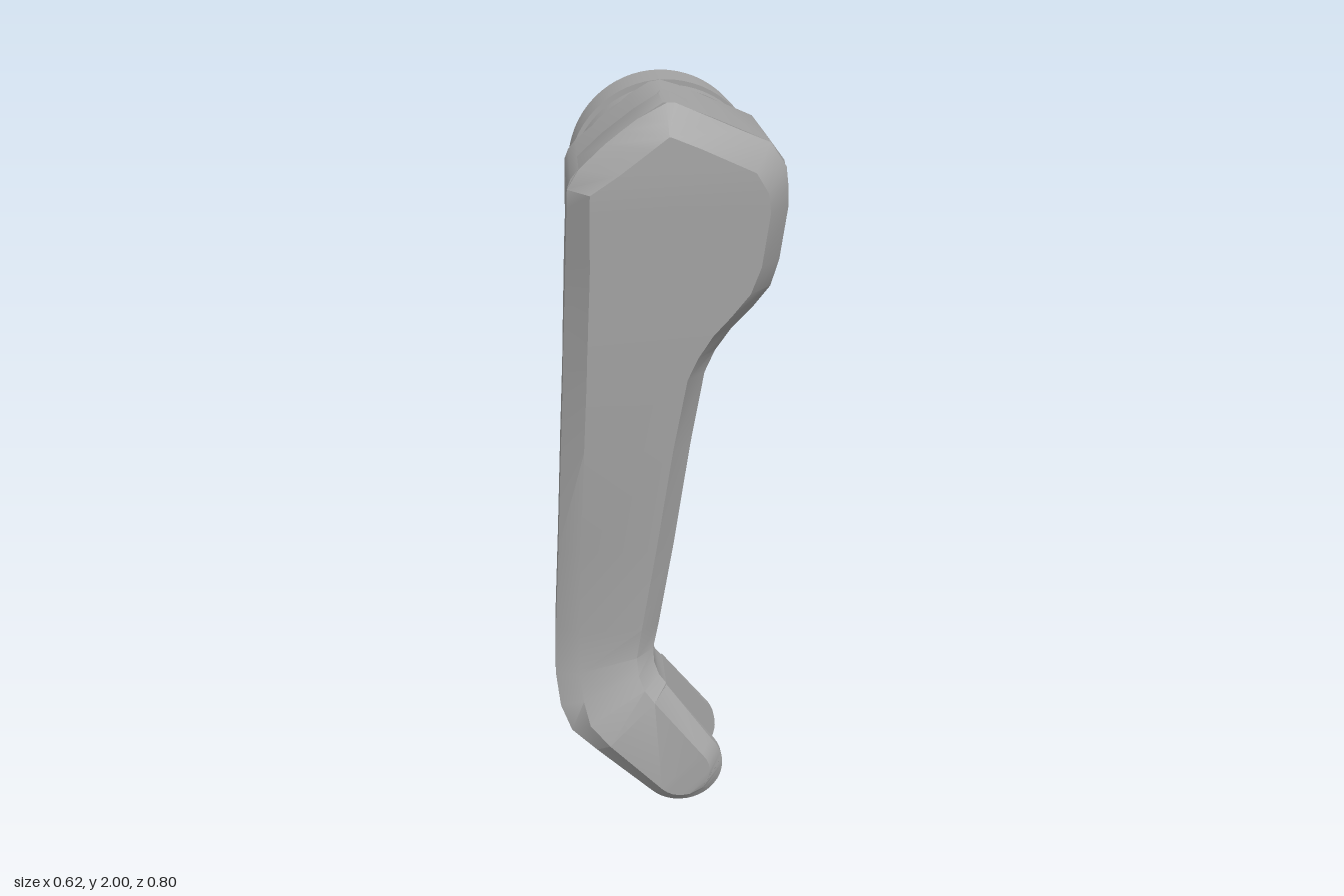
import * as THREE from 'three';
import { toCreasedNormals } from 'three/addons/utils/BufferGeometryUtils.js';

const grey = new THREE.MeshStandardMaterial({ color: 0xa3a3a3 });
grey.name = 'grey';

// Piecewise linear curve through [input, output] pairs
function curve(pairs) {
  return (t) => {
    if (t <= pairs[0][0]) return pairs[0][1];
    for (let i = 1; i < pairs.length; i++) {
      const [a, va] = pairs[i - 1], [b, vb] = pairs[i];
      if (t <= b) return va + (vb - va) * (t - a) / (b - a);
    }
    return pairs[pairs.length - 1][1];
  };
}

// Depth of the front and back surfaces at a given height
const frontZ = curve([[0.26, 0.4], [0.46, 0.335], [1.4, 0.375], [1.8, 0.385], [1.93, 0.38], [2, 0.3]]);
const backZ = curve([[0.26, 0.1], [0.46, 0.145], [1.0, 0.13], [1.2, 0.11], [1.3, 0.09],
  [1.38, 0.035], [1.42, -0.03], [1.55, -0.03], [1.65, 0.1]]);

// Eight-sided chamfered section between a left and a right point
function section({ L, R, front = frontZ, back = backZ, fiL = 0.05, fiR = fiL, bi = 0.05, fc = 0.04, bc = 0.045 }) {
  const len = Math.hypot(R[0] - L[0], R[1] - L[1]) || 1;
  const at = (d) => [L[0] + (R[0] - L[0]) * d / len, L[1] + (R[1] - L[1]) * d / len];
  const place = (d, surface, dz) => {
    const [x, y] = at(d);
    return [x, y, surface(y) + dz];
  };
  const half = len / 2;
  const b = Math.min(bi, half);
  const l = Math.min(fiL, half), r = Math.min(fiR, len - l);
  const pts = [
    place(l, front, 0), place(len - r, front, 0), place(len, front, -fc), place(len, back, bc),
    place(len - b, back, 0), place(b, back, 0), place(0, back, bc), place(0, front, -fc),
  ];
  // keep the side edges from crossing where the part is thin
  for (const [f, k] of [[2, 3], [7, 6]]) {
    if (pts[f][2] < pts[k][2]) pts[f][2] = pts[k][2] = (pts[f][2] + pts[k][2]) / 2;
  }
  return pts;
}

// Skin a list of sections, lowest first, and close both ends
function loft(stations, crease = 0.6) {
  const rings = stations.map(section), n = 8, index = [];
  for (let i = 0; i + 1 < rings.length; i++) {
    for (let j = 0; j < n; j++) {
      const a = i * n + j, b = i * n + (j + 1) % n;
      index.push(a, b, b + n, a, b + n, a + n);
    }
  }
  const top = (rings.length - 1) * n;
  for (let j = 1; j < n - 1; j++) index.push(0, j + 1, j, top, top + j, top + j + 1);
  const g = new THREE.BufferGeometry();
  g.setAttribute('position', new THREE.Float32BufferAttribute(rings.flat(2), 3));
  g.setIndex(index);
  return toCreasedNormals(g, crease);
}

export function createModel() {
  const model = new THREE.Group();
  model.name = 'crankArm';
  const add = (name, geometry) => {
    const mesh = new THREE.Mesh(geometry, grey);
    mesh.name = name;
    model.add(mesh);
    return mesh;
  };

  // Arm from the end of the fork slot up to the peak of the head
  const slotL = [-0.2, 0.18], slotR = [0, 0.37];
  const arm = [
    { L: slotL, R: slotR },
    { L: [-0.27, 0.25], R: [-0.02, 0.395], fiL: 0.06, fiR: 0.05 },
    { L: [-0.3, 0.32], R: [-0.033, 0.43], fiL: 0.07, fiR: 0.05 },
    { L: [-0.312, 0.41], R: [-0.035, 0.47], fiL: 0.07, fiR: 0.05 },
    { L: [-0.308, 0.55], R: [-0.02, 0.55], fiL: 0.065, fiR: 0.05 },
    { L: [-0.295, 0.8], R: [0.02, 0.8], fiL: 0.06, fiR: 0.05 },
    { L: [-0.281, 1.1], R: [0.064, 1.1], fiL: 0.06, fiR: 0.05, bi: 0.06, fc: 0.05, bc: 0.05 },
  ];
  // y, left x, right x, front insets left and right, back inset, back chamfer
  for (const [y, l, r, fiL, fiR, bi, bc] of [
    [1.3, -0.271, 0.1, 0.06, 0.05, 0.09, 0.08],
    [1.36, -0.269, 0.127, 0.06, 0.05, 0.12, 0.12],
    [1.42, -0.266, 0.17, 0.06, 0.055, 0.14, 0.17],
    [1.47, -0.264, 0.22, 0.06, 0.06, 0.12, 0.17],
    [1.53, -0.261, 0.268, 0.06, 0.06, 0.08, 0.13],
    [1.6, -0.258, 0.289, 0.06, 0.055, 0.04, 0.06],
    [1.74, -0.252, 0.308, 0.055, 0.055, 0.04, 0.05],
    [1.79, -0.25, 0.306, 0.055, 0.06, 0.04, 0.05],
    [1.84, -0.22, 0.3, 0.1, 0.085, 0.04, 0.05],
    [1.9, -0.155, 0.26, 0.115, 0.18, 0.04, 0.05],
    [1.93, -0.115, 0.185, 0.115, 0.18, 0.04, 0.05],
    [1.96, -0.075, 0.115, 0.075, 0.11, 0.03, 0.05],
    [2.0, -0.01, 0.02, 0.01, 0.02, 0.01, 0.05],
  ]) {
    const fc = y < 1.93 ? curve([[1.1, 0.05], [1.5, 0.075]])(y) : Math.max(0, frontZ(y) - 0.3);
    arm.push({ L: [l, y], R: [r, y], fiL, fiR, bi, bc, fc });
  }
  add('arm', loft(arm));

  // Two fork prongs with round chamfered tips
  const radius = 0.12, inner = 0.08, centre = [0.04, 0.12];
  for (const isFront of [true, false]) {
    const stations = [];
    const side = (drop, inset) => (isFront
      ? { front: (y) => Math.max(frontZ(y), 0.345) - drop, back: () => 0.34, fiL: inset, bi: 0, fc: 0.04 - drop, bc: 0 }
      : { front: () => 0.16, back: (y) => Math.min(backZ(y), 0.155) + drop, fiL: 0, bi: inset, fc: 0, bc: 0.04 - drop });
    for (let i = 10; i >= 0; i--) {
      const s = radius * Math.sin(i / 10 * Math.PI / 2);
      const hw = Math.max(0.003, Math.sqrt(Math.max(0, radius * radius - s * s)));
      const inset = hw - Math.sqrt(Math.max(0, inner * inner - s * s));
      const x = centre[0] + 0.7 * s, y = centre[1] - 0.714 * s;
      stations.push({
        L: [x - 0.714 * hw, y - 0.7 * hw], R: [x + 0.714 * hw, y + 0.7 * hw],
        ...side(Math.max(0, s - inner), inset),
      });
    }
    stations.push({ L: slotL, R: slotR, ...side(0, 0.05) });
    add(isFront ? 'frontProng' : 'backProng', loft(stations));
  }

  // Head housing: peaked on top, round underneath
  const outline = [
    [-0.25, 1.79], [-0.253, 1.62], [-0.235, 1.56], [-0.19, 1.495], [-0.12, 1.44], [-0.04, 1.41], [0.04, 1.402],
    [0.12, 1.415], [0.19, 1.45], [0.24, 1.495], [0.268, 1.53], [0.289, 1.6], [0.308, 1.74], [0.306, 1.8],
    [0.295, 1.855], [0.26, 1.9], [0.115, 1.962], [0.055, 1.985], [0.01, 1.998], [-0.02, 1.993],
    [-0.075, 1.96], [-0.22, 1.84], [-0.24, 1.815],
  ].map(([x, y]) => new THREE.Vector2(x, y));
  const housing = new THREE.ExtrudeGeometry(new THREE.Shape(outline), { depth: 0.37, bevelEnabled: false });
  housing.translate(0, 0, -0.07);
  add('headHousing', toCreasedNormals(housing, 0.7));

  // Stepped round stack behind the head
  for (const [name, r, z0, z1] of [
    ['collar', 0.268, -0.125, -0.06],
    ['neck', 0.24, -0.2, -0.12],
    ['capBand', 0.272, -0.29, -0.19],
    ['cap', 0.268, -0.395, -0.28],
  ]) {
    const g = new THREE.CylinderGeometry(r, r, z1 - z0, 64);
    g.rotateX(Math.PI / 2);
    add(name, g).position.set(0.032, 1.708, (z0 + z1) / 2);
  }

  // Small tab under the cap
  const tabShape = new THREE.Shape([[-0.06, 1.47], [-0.06, 1.425], [-0.035, 1.4], [0.03, 1.4], [0.055, 1.425], [0.055, 1.47]]
    .map(([x, y]) => new THREE.Vector2(x, y)));
  const tab = new THREE.ExtrudeGeometry(tabShape, { depth: 0.113, bevelEnabled: false });
  tab.translate(0, 0, -0.398);
  add('tab', tab);

  return model;
}
